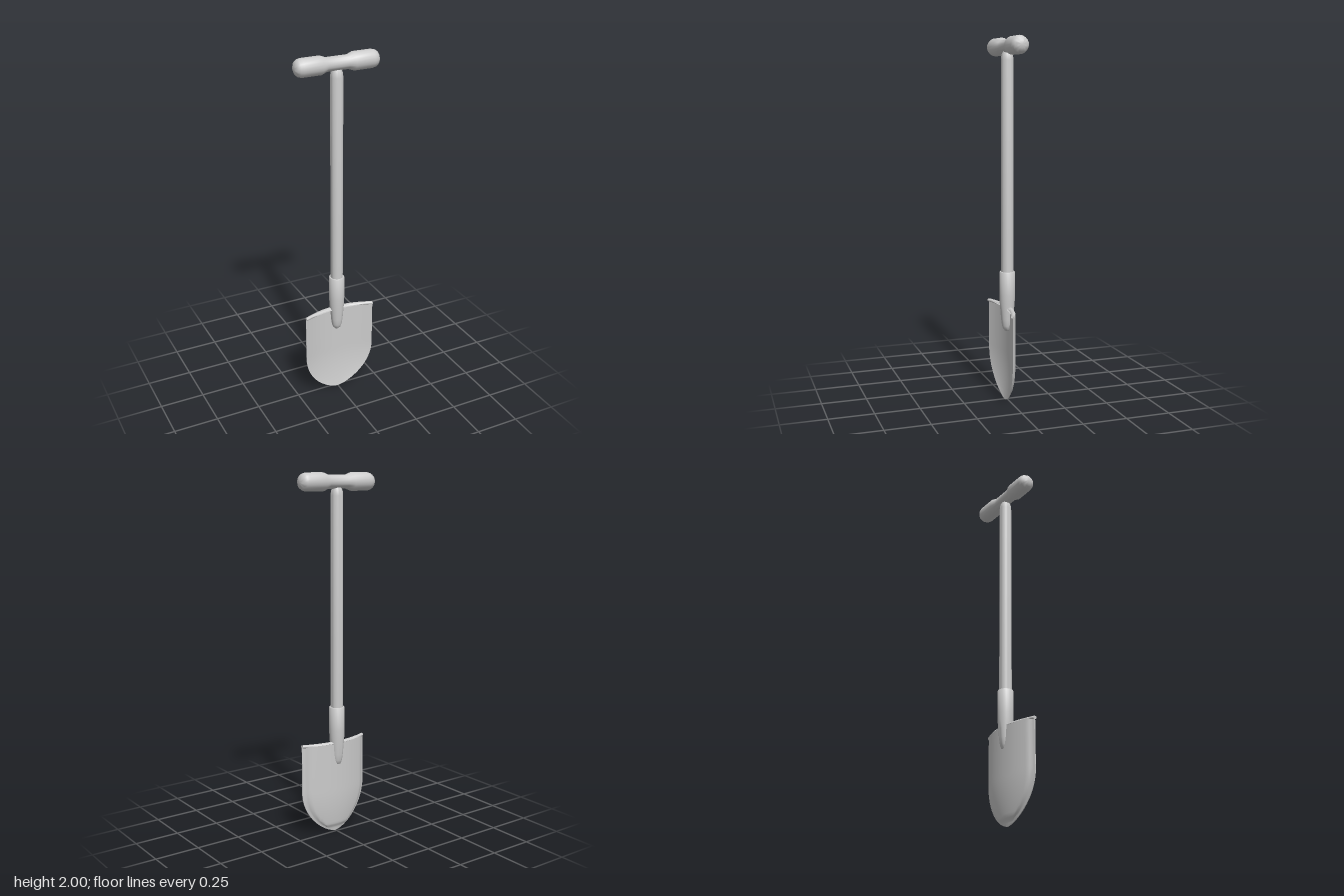
import * as THREE from 'three';
import { toCreasedNormals } from 'three/addons/utils/BufferGeometryUtils.js';

const material = new THREE.MeshStandardMaterial({ color: 0xcccccc, side: THREE.DoubleSide });

function addMesh(parent, name, geometry, crease = 0.7) {
  const mesh = new THREE.Mesh(toCreasedNormals(geometry, crease), material);
  mesh.name = name;
  parent.add(mesh);
  return mesh;
}

function lathe(points, segments = 24) {
  return new THREE.LatheGeometry(points.map(([r, y]) => new THREE.Vector2(r, y)), segments);
}

// Closed skin over rings of [x, y, z], with a fan cap at each end
function loft(rings) {
  const n = rings[0].length;
  const position = rings.flat(2);
  const index = [];
  for (let i = 0; i < rings.length - 1; i++) {
    for (let j = 0; j < n; j++) {
      const a = i * n + j, b = i * n + (j + 1) % n;
      index.push(a, b, b + n, a, b + n, a + n);
    }
  }
  [0, rings.length - 1].forEach((r, end) => {
    const centre = position.length / 3;
    for (let k = 0; k < 3; k++) position.push(rings[r].reduce((s, p) => s + p[k] / n, 0));
    for (let j = 0; j < n; j++) {
      const a = r * n + j, b = r * n + (j + 1) % n;
      index.push(centre, ...(end ? [a, b] : [b, a]));
    }
  });
  const geometry = new THREE.BufferGeometry();
  geometry.setAttribute('position', new THREE.Float32BufferAttribute(position, 3));
  geometry.setIndex(index);
  return geometry;
}

// Blade rules: half width by height, and the dished front surface
const TOP = 0.525;
const taper = (y, height) => 1 - (1 - Math.min(1, y / height)) ** 2;
const halfWidth = y => Math.max(0.002, 0.21 * taper(y, 0.26) ** 0.65);
const dish = (u, y) => {
  const spread = taper(y, 0.25);
  const middle = 0.015 - 0.023 * spread;
  const edge = 0.015 + 0.022 * spread;
  return middle + (edge - middle) * u * u;
};

function bladeGeometry() {
  const rings = [], rows = 32, cols = 32;
  for (let i = 0; i <= rows; i++) {
    const y = TOP * (i / rows) ** 1.7;
    const w = halfWidth(y);
    const front = [], back = [];
    for (let j = 0; j <= cols; j++) {
      const u = Math.sin((j / cols - 0.5) * Math.PI);
      const x = u * w, z = dish(u, y);
      // thin flange round the outline, thicker pan inside it
      const inset = Math.min(w - Math.abs(x), y * 0.7);
      const thickness = 0.004 + 0.009 * THREE.MathUtils.smoothstep(inset, 0.016, 0.032);
      front.push([x, y, z]);
      back.unshift([x, y, z - thickness]);
    }
    rings.push([...front, ...back]);
  }
  return loft(rings);
}

// Rolled foot tread following the top of the blade
function treadGeometry() {
  const rings = [], cols = 24, sides = 10;
  for (let i = 0; i <= cols; i++) {
    const u = i / cols * 2 - 1;
    const ring = [];
    for (let j = 0; j < sides; j++) {
      const a = j / sides * Math.PI * 2;
      const depth = 0.014 - 0.003 * u * u;
      ring.push([u * 0.208, TOP + 0.009 * Math.sin(a), dish(u, TOP) - depth * Math.cos(a)]);
    }
    rings.push(ring);
  }
  return loft(rings);
}

export function createModel() {
  const group = new THREE.Group();
  group.name = 'spade';

  addMesh(group, 'blade', bladeGeometry(), 0.6);
  addMesh(group, 'footTread', treadGeometry(), 0.8);

  // Socket with its rounded tongue running down the blade
  addMesh(group, 'socket', lathe([
    [0, 0.39], [0.012, 0.394], [0.022, 0.405], [0.029, 0.425], [0.034, 0.46],
    [0.038, 0.51], [0.042, 0.56], [0.043, 0.6], [0.043, 0.727], [0.041, 0.73], [0.03, 0.73],
  ])).position.z = -0.002;

  addMesh(group, 'shaft', lathe([
    [0, 0.7], [0.034, 0.7], [0.034, 1.88], [0.031, 1.905], [0.024, 1.92], [0, 1.93],
  ])).position.z = -0.002;

  // Grip: waisted bar with rounded ends, mirrored about its middle
  const half = [[0.037, 0.06], [0.049, 0.092], [0.049, 0.197], [0.045, 0.214],
    [0.036, 0.227], [0.02, 0.235], [0, 0.238]];
  const grip = addMesh(group, 'grip', lathe([
    ...half.map(([r, y]) => [r, -y]).reverse(), ...half,
  ], 20));
  grip.rotation.z = -Math.PI / 2;
  grip.position.set(0, 1.951, -0.002);

  return group;
}
